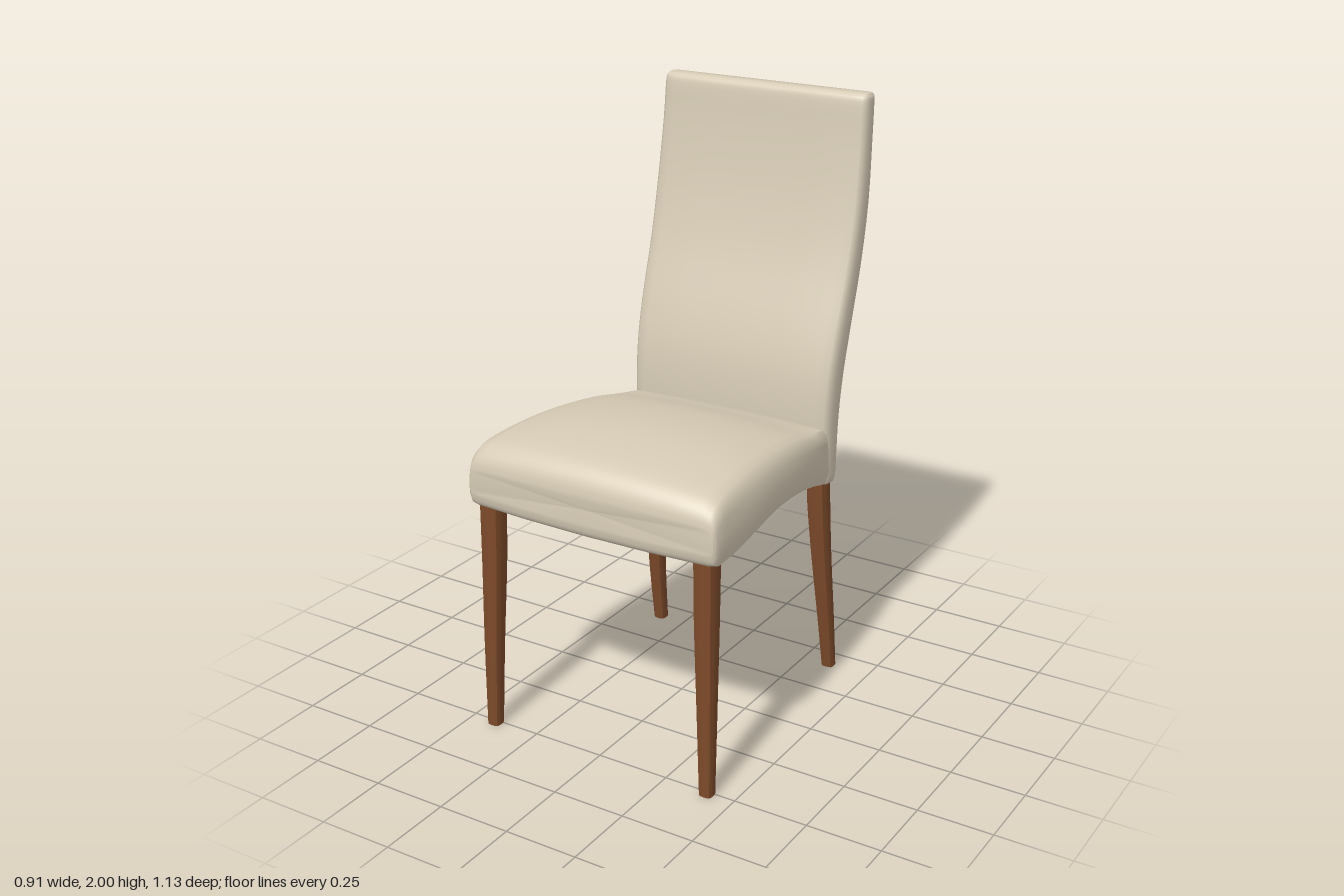
import * as THREE from 'three';
import { toCreasedNormals, mergeVertices } from 'three/addons/utils/BufferGeometryUtils.js';

const fabric = new THREE.MeshStandardMaterial({ color: 0xd6cbb5 });
fabric.name = 'cream upholstery';
const wood = new THREE.MeshStandardMaterial({ color: 0x7c4a2a });
wood.name = 'brown wood';

// Smoothly resample key rows of section parameters
function smoothRows(rows, steps) {
  const size = rows[0].length;
  const curve = new THREE.CubicInterpolant(rows.map((_, i) => i), rows.flat(), size, new Float32Array(size));
  const out = [];
  const count = (rows.length - 1) * steps;
  for (let i = 0; i <= count; i++) out.push(Array.from(curve.evaluate(i / steps)));
  return out;
}

// Complete a half section (starting and ending on x = 0) by mirroring
function mirrorRing(half) {
  const other = half.slice(1, -1).reverse().map((p) => new THREE.Vector3(-p.x, p.y, p.z));
  return half.concat(other);
}

// Skin a closed, capped surface over a list of rings
function loft(rings, crease) {
  const n = rings[0].length;
  const pos = [];
  const index = [];
  rings.forEach((ring) => ring.forEach((p) => pos.push(p.x, p.y, p.z)));
  for (let i = 0; i < rings.length - 1; i++) {
    for (let j = 0; j < n; j++) {
      const a = i * n + j;
      const b = i * n + (j + 1) % n;
      index.push(a, b, a + n, b, b + n, a + n);
    }
  }
  [0, rings.length - 1].forEach((r) => {
    const c = new THREE.Vector3();
    rings[r].forEach((p) => c.addScaledVector(p, 1 / n));
    const centre = pos.length / 3;
    pos.push(c.x, c.y, c.z);
    for (let j = 0; j < n; j++) {
      const a = r * n + j;
      const b = r * n + (j + 1) % n;
      if (r === 0) index.push(centre, b, a);
      else index.push(centre, a, b);
    }
  });
  const geo = new THREE.BufferGeometry();
  geo.setAttribute('position', new THREE.Float32BufferAttribute(pos, 3));
  geo.setIndex(index);
  return mergeVertices(toCreasedNormals(geo, crease));
}

function addMesh(group, name, geo, mat) {
  const mesh = new THREE.Mesh(geo, mat);
  mesh.name = name;
  group.add(mesh);
}

// Seat: sections across x, running from back to front
function seatGeometry() {
  // z, half width at the side, half width of the top edge, bottom, edge height, centre height
  const rows = [
    [-0.35, 0.368, 0.362, 0.735, 0.91, 0.92],
    [-0.29, 0.378, 0.372, 0.735, 0.93, 0.94],
    [-0.20, 0.393, 0.380, 0.765, 0.945, 0.966],
    [-0.05, 0.415, 0.393, 0.802, 0.975, 1.012],
    [0.13, 0.435, 0.408, 0.82, 0.995, 1.04],
    [0.28, 0.450, 0.422, 0.812, 1.0, 1.046],
    [0.41, 0.456, 0.434, 0.798, 0.995, 1.036],
    [0.50, 0.456, 0.440, 0.792, 0.985, 1.02],
    [0.54, 0.454, 0.440, 0.79, 0.965, 0.995],
    [0.56, 0.450, 0.438, 0.805, 0.94, 0.96],
    [0.567, 0.444, 0.430, 0.84, 0.91, 0.92],
  ];
  const rings = smoothRows(rows, 3).map(([z, w, wt, yb, ye, yc]) => {
    const h = ye - yb;
    const crown = yc - ye;
    const bow = 0.02 * THREE.MathUtils.smoothstep(z, 0.3, 0.55);
    const half = [
      [0, yb], [w * 0.5, yb], [w - 0.03, yb], [w - 0.008, yb + h * 0.03],
      [w, yb + h * 0.2], [w, yb + h * 0.5], [w - (w - wt) * 0.25, yb + h * 0.75],
      [wt + (w - wt) * 0.3, yb + h * 0.92], [wt - 0.012, ye + crown * 0.12],
      [wt * 0.9, ye + crown * 0.35], [wt * 0.7, ye + crown * 0.65],
      [wt * 0.4, ye + crown * 0.9], [0, yc],
    ].map(([x, y]) => new THREE.Vector3(x, y, z - bow * (x / 0.45) ** 2));
    return mirrorRing(half);
  });
  return loft(rings, 0.7);
}

// Backrest: sections across x, running from bottom to top
function backGeometry() {
  // y, half width, front z, rear z
  const rows = [
    [0.722, 0.362, -0.325, -0.375],
    [0.735, 0.37, -0.305, -0.387],
    [0.80, 0.374, -0.295, -0.386],
    [0.95, 0.377, -0.290, -0.388],
    [1.10, 0.380, -0.302, -0.408],
    [1.25, 0.383, -0.338, -0.444],
    [1.45, 0.385, -0.402, -0.498],
    [1.65, 0.385, -0.449, -0.537],
    [1.85, 0.380, -0.480, -0.558],
    [1.96, 0.378, -0.491, -0.566],
    [1.99, 0.376, -0.498, -0.567],
    [2.00, 0.370, -0.510, -0.558],
  ];
  const rings = smoothRows(rows, 3).map(([y, w, zf, zr]) => {
    const d = zf - zr;
    const half = [
      [0, zf], [w * 0.5, zf], [w * 0.88, zf - d * 0.02], [w - 0.015, zf - d * 0.07],
      [w - 0.004, zf - d * 0.18], [w, zf - d * 0.4], [w, zr + d * 0.25],
      [w - 0.004, zr + d * 0.06], [w - 0.015, zr], [w * 0.5, zr], [0, zr],
    ].map(([x, z]) => new THREE.Vector3(x, y, z));
    return mirrorRing(half);
  });
  return loft(rings, 0.75);
}

// Leg: rounded-square sections; each row is y, centre x, centre z, half thickness
function legGeometry(rows, side) {
  const rings = smoothRows(rows, 4).map(([y, cx, cz, r]) => {
    const ring = [];
    for (let i = 0; i < 16; i++) {
      const a = (i / 16) * Math.PI * 2;
      const c = Math.cos(a);
      const s = Math.sin(a);
      const k = r / Math.pow(c ** 4 + s ** 4, 0.25);
      ring.push(new THREE.Vector3(side * cx + s * k, y, cz + c * k));
    }
    return ring;
  });
  return loft(rings, 0.8);
}

export function createModel() {
  const chair = new THREE.Group();
  chair.name = 'dining chair';
  addMesh(chair, 'seat', seatGeometry(), fabric);
  addMesh(chair, 'backrest', backGeometry(), fabric);

  const frontRows = [
    [0, 0.408, 0.511, 0.022],
    [0.3, 0.403, 0.506, 0.028],
    [0.6, 0.396, 0.498, 0.034],
    [0.84, 0.394, 0.495, 0.036],
  ];
  const backRows = [
    [0, 0.348, -0.42, 0.021],
    [0.2, 0.344, -0.393, 0.025],
    [0.45, 0.335, -0.363, 0.030],
    [0.65, 0.328, -0.346, 0.034],
    [0.76, 0.326, -0.341, 0.034],
  ];
  for (const [side, label] of [[1, 'left'], [-1, 'right']]) {
    addMesh(chair, `${label} front leg`, legGeometry(frontRows, side), wood);
    addMesh(chair, `${label} back leg`, legGeometry(backRows, side), wood);
  }
  return chair;
}
